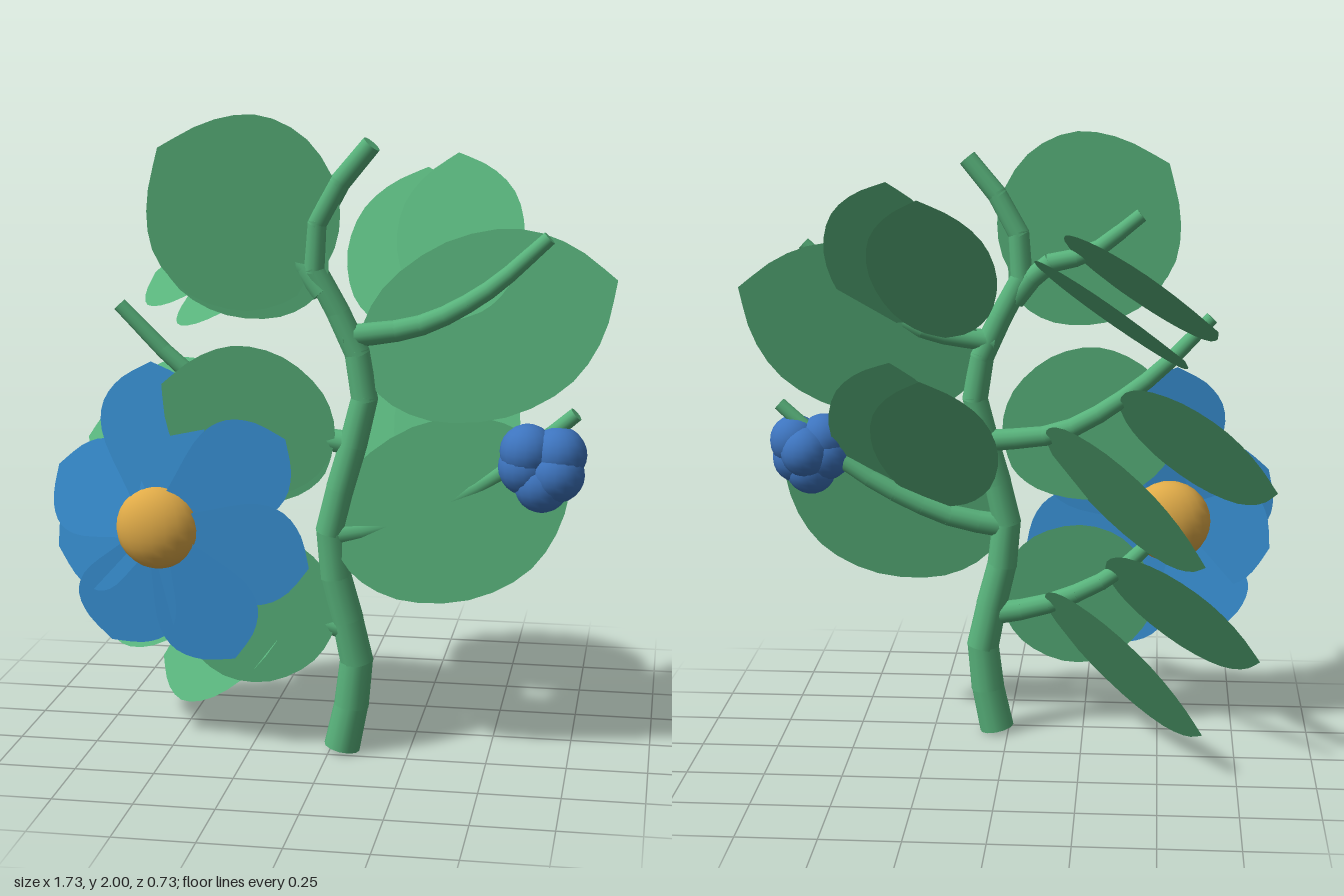
import * as THREE from 'three';

const V = (a) => new THREE.Vector3(...a);

// Tapered branch made of short stacked cylinders along a smooth path
function branch(name, points, r0, r1, count, mat) {
  const group = new THREE.Group();
  group.name = name;
  const curve = new THREE.CatmullRomCurve3(points.map(V));
  for (let i = 0; i < count; i++) {
    const a = curve.getPointAt(i / count), b = curve.getPointAt((i + 1) / count);
    const dir = b.clone().sub(a), len = dir.length();
    const r = THREE.MathUtils.lerp(r0, r1, i / count);
    const geo = new THREE.CylinderGeometry(r * 0.94, r, len * 1.12, 12);
    const piece = new THREE.Mesh(geo, mat);
    piece.name = name + 'Segment';
    piece.position.copy(a).add(b).multiplyScalar(0.5);
    piece.quaternion.setFromUnitVectors(new THREE.Vector3(0, 1, 0), dir.normalize());
    group.add(piece);
  }
  return group;
}

// Flat blade from base to tip, spreading along the side direction
function blade(name, base, tip, side, width, profile, mat) {
  const shape = new THREE.Shape();
  const left = new THREE.SplineCurve(profile.map(([t, w]) => new THREE.Vector2(w, t))).getPoints(16);
  shape.setFromPoints([...left, ...left.slice(1, -1).reverse().map((p) => new THREE.Vector2(-p.x, p.y))]);
  const geo = new THREE.ShapeGeometry(shape);
  const b = V(base), axis = V(tip).sub(b), unit = axis.clone().normalize();
  const s = V(side).addScaledVector(unit, -V(side).dot(unit)).normalize();
  const n = s.clone().cross(unit);
  geo.applyMatrix4(new THREE.Matrix4().makeBasis(s.multiplyScalar(width / 2), axis, n).setPosition(b));
  geo.computeVertexNormals();
  const mesh = new THREE.Mesh(geo, mat);
  mesh.name = name;
  return mesh;
}

const LEAF = [[0, 0], [0.05, 0.42], [0.2, 0.8], [0.45, 1], [0.7, 0.9], [0.88, 0.53], [1, 0]];
const PETAL = [[0, 0.2], [0.25, 0.55], [0.55, 0.95], [0.75, 0.95], [0.9, 0.6], [1, 0]];

export function createModel() {
  const green = new THREE.MeshStandardMaterial({ color: 0x58b27b, side: THREE.DoubleSide });
  green.name = 'leafGreen';
  const blue = new THREE.MeshStandardMaterial({ color: 0x3b97dd, side: THREE.DoubleSide });
  blue.name = 'petalBlue';
  const navy = new THREE.MeshStandardMaterial({ color: 0x3d74be });
  navy.name = 'berryBlue';
  const gold = new THREE.MeshStandardMaterial({ color: 0xe0ab48 });
  gold.name = 'flowerGold';

  const model = new THREE.Group();
  model.name = 'floweringSprig';

  // Stem and side branches
  model.add(
    branch('stem', [[0.04, 0.012, 0.2], [0.085, 0.28, 0.2], [0.05, 0.46, 0.21], [0.005, 0.68, 0.22], [0.05, 0.9, 0.22],
      [0.11, 1.15, 0.21], [0.06, 1.34, 0.21], [-0.04, 1.52, 0.22], [-0.02, 1.7, 0.23], [0.13, 1.9, 0.25]], 0.057, 0.03, 14, green),
    branch('upperLeftBranch', [[0.05, 1.32, 0.21], [0.28, 1.36, 0.2], [0.48, 1.47, 0.21], [0.66, 1.63, 0.21]], 0.037, 0.022, 9, green),
    branch('berryBranch', [[0.01, 0.7, 0.22], [0.2, 0.74, 0.2], [0.5, 0.89, 0.19], [0.75, 1.1, 0.21]], 0.04, 0.022, 9, green),
    branch('topRightBranch', [[-0.02, 1.46, 0.22], [-0.12, 1.57, 0.205], [-0.26, 1.61, 0.2], [-0.42, 1.73, 0.21]], 0.036, 0.022, 6, green),
    branch('middleRightBranch', [[0.07, 0.99, 0.21], [-0.18, 1.03, 0.19], [-0.45, 1.2, 0.2], [-0.65, 1.4, 0.215]], 0.037, 0.022, 9, green),
    branch('flowerBranch', [[0.05, 0.4, 0.21], [-0.12, 0.44, 0.19], [-0.35, 0.55, 0.19], [-0.52, 0.7, 0.24]], 0.038, 0.022, 7, green)
  );

  const leaf = (base, tip, side, width) => model.add(blade('leaf', base, tip, side, width, LEAF, green));

  // Broad leaves facing forward on the flower side: top pair, middle pair, low leaf
  leaf([-0.02, 1.51, 0.235], [-0.51, 1.89, 0.28], [0.6, 0.75, 0.02], 0.6);
  leaf([0, 1.5, 0.235], [-0.55, 1.68, 0.255], [0.3, 0.95, 0.04], 0.42);
  leaf([0.01, 0.95, 0.235], [-0.51, 1.17, 0.28], [0.4, 0.9, 0.02], 0.46);
  leaf([0.01, 0.95, 0.235], [-0.55, 0.97, 0.255], [0.05, 1, 0.03], 0.34);
  leaf([0.03, 0.49, 0.235], [-0.5, 0.43, 0.265], [0.1, -1, 0.02], 0.48);

  // Broad leaves facing forward on the berry side
  leaf([0.1, 1.22, 0.21], [0.865, 1.5, 0.13], [-0.3, 0.9, -0.13], 0.56);
  leaf([0.02, 0.67, 0.25], [0.75, 0.92, 0.2], [-0.3, 0.9, -0.08], 0.56);

  // Leaves leaning back behind the berry side, in two tiers
  for (const [dy, dz] of [[0, 0], [-0.57, 0.04]]) {
    leaf([0.2, 1.34 + dy, 0.15 + dz], [0.26, 1.81 + dy, -0.12 + dz], [1, 0.06, 0.15], 0.42);
    leaf([0.4, 1.38 + dy, 0.18 + dz], [0.36, 1.86 + dy, -0.07 + dz], [1, 0.02, 0.15], 0.4);
  }

  // Leaves sweeping backward behind the flower side, in three tiers
  leaf([-0.12, 1.54, 0.2], [-0.56, 1.37, -0.36], [0.6, 0.6, -0.5], 0.46);
  leaf([-0.2, 1.62, 0.2], [-0.66, 1.44, -0.26], [0.6, 0.65, -0.5], 0.46);
  for (const [dx, dy] of [[0, 0], [0.04, -0.55]]) {
    leaf([-0.12, 1.0 + dy, 0.2], [-0.64, 0.69 + dy, -0.2], [0.18, 0.75, -0.62], 0.48);
    leaf([-0.36 + dx, 1.11 + dy, 0.2], [-0.86 + dx, 0.91 + dy, -0.12], [0.15, 0.75, -0.62], 0.44);
  }

  // Flower: petals around a golden dome, tips drooping slightly back
  const flower = new THREE.Group();
  flower.name = 'flower';
  const petals = [[92, 0.52], [36, 0.5], [-13, 0.49], [-60, 0.48], [-113, 0.41], [194, 0.34], [150, 0.37]];
  petals.forEach(([deg, len], i) => {
    const a = THREE.MathUtils.degToRad(deg), c = Math.cos(a), s = Math.sin(a);
    const z = 0.295 + 0.002 * i;
    flower.add(blade('petal', [-0.53, 0.715, z], [-0.53 + c * len, 0.715 + s * len, z - 0.04 + 0.02 * c], [-s, c, 0.04], 0.33, PETAL, blue));
  });
  const dome = new THREE.Mesh(new THREE.SphereGeometry(0.135, 20, 14), gold);
  dome.name = 'flowerCentre';
  dome.scale.z = 0.68;
  dome.position.set(-0.53, 0.715, 0.265);
  flower.add(dome);
  model.add(flower);

  // Berry cluster
  const berries = new THREE.Group();
  berries.name = 'berryCluster';
  const spots = [[-0.045, 0.045, 0.005], [0.05, 0.04, 0.005], [0.045, -0.02, 0.02], [-0.05, -0.005, 0],
    [0, -0.055, 0.01], [0.01, 0.01, -0.03]];
  for (const [x, y, z] of spots) {
    const berry = new THREE.Mesh(new THREE.SphereGeometry(0.085, 16, 12), navy);
    berry.name = 'berry';
    berry.position.set(0.655 + x, 0.94 + y, 0.213 + z);
    berries.add(berry);
  }
  model.add(berries);
  return model;
}
